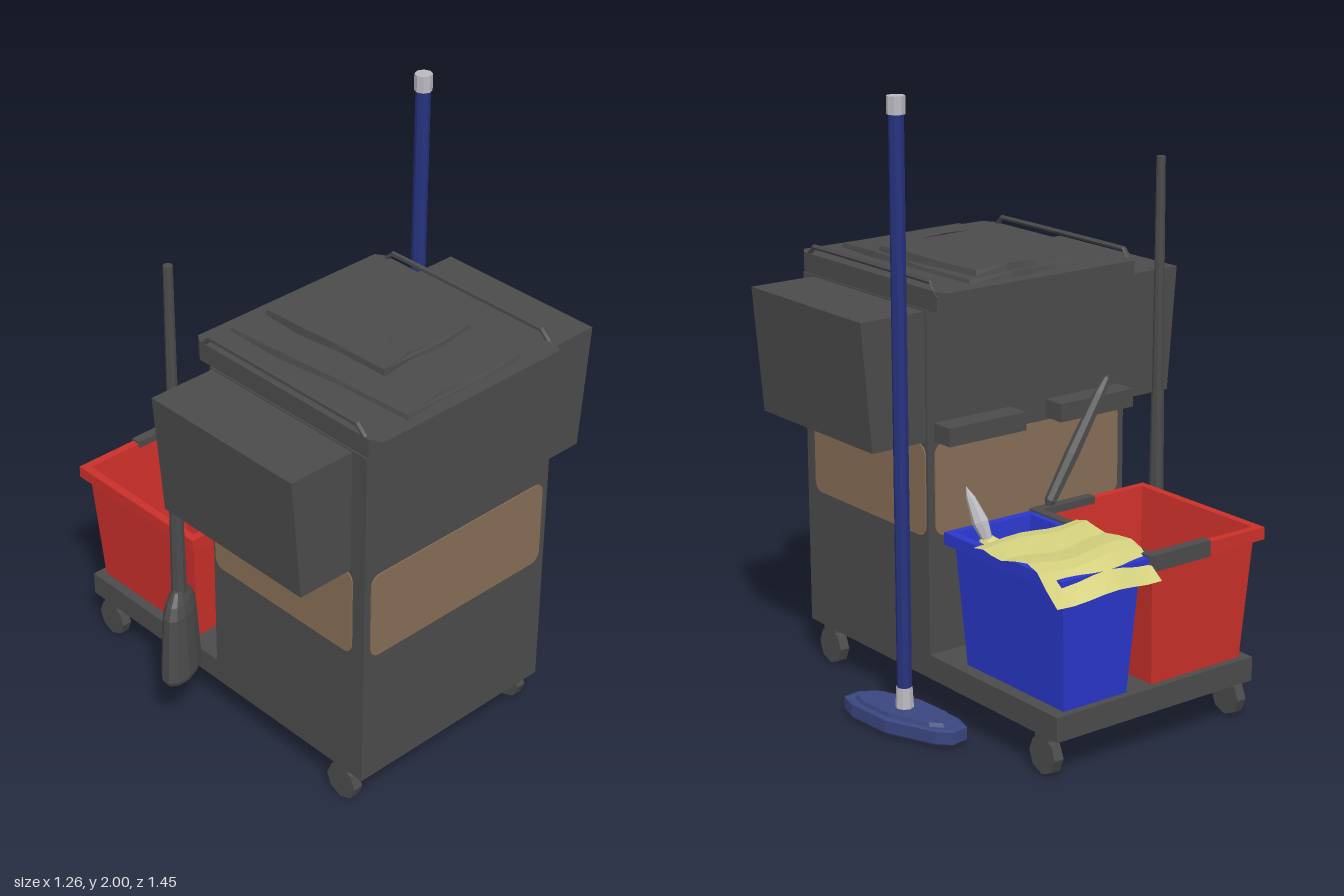
import * as THREE from 'three';

const mat = (name, color, side = THREE.FrontSide) => {
  const m = new THREE.MeshStandardMaterial({ color, side, flatShading: true });
  m.name = name;
  return m;
};

export function createModel() {
  const root = new THREE.Group();
  root.name = 'cleaningCart';
  const grey = mat('dark grey plastic', 0x4b4b4b);
  const brown = mat('brown panel', 0x866d55);
  const red = mat('red plastic', 0xcb302a);
  const blue = mat('blue plastic', 0x2b38cc);
  const poleBlue = mat('navy pole', 0x26327e);
  const navy = mat('navy mop', 0x3a467f);
  const silver = mat('silver', 0xb9b9bf);
  const yellow = mat('yellow cloth', 0xd4d07e, THREE.DoubleSide);

  const add = (name, geo, material, x = 0, y = 0, z = 0) => {
    const m = new THREE.Mesh(geo, material);
    m.name = name;
    m.position.set(x, y, z);
    root.add(m);
    return m;
  };
  // box given by its limits on each axis
  const box = (name, material, x0, x1, y0, y1, z0, z1) =>
    add(name, new THREE.BoxGeometry(x1 - x0, y1 - y0, z1 - z0), material,
      (x0 + x1) / 2, (y0 + y1) / 2, (z0 + z1) / 2);
  const rod = (name, material, x, z, y0, y1, r0, r1 = r0, n = 8) =>
    add(name, new THREE.CylinderGeometry(r1, r0, y1 - y0, n), material, x, (y0 + y1) / 2, z);
  const rect = (x0, x1, z0, z1, y) => [[x0, y, z1], [x1, y, z1], [x1, y, z0], [x0, y, z0]];
  // closed solid through horizontal rings of equal point count
  const loft = (rings) => {
    const n = rings[0].length, idx = [], last = (rings.length - 1) * n;
    for (let i = 0; i < rings.length - 1; i++)
      for (let j = 0; j < n; j++) {
        const a = i * n + j, b = i * n + (j + 1) % n;
        idx.push(a, b, b + n, a, b + n, a + n);
      }
    for (let j = 1; j < n - 1; j++) idx.push(0, j + 1, j, last, last + j, last + j + 1);
    const g = new THREE.BufferGeometry();
    g.setAttribute('position', new THREE.Float32BufferAttribute(rings.flat(2), 3));
    g.setIndex(idx);
    const flat = g.toNonIndexed();
    flat.computeVertexNormals();
    return flat;
  };
  // thin plate with rounded corners, facing +z
  const plate = (w, h, r) => {
    const s = new THREE.Shape(), a = w / 2, b = h / 2;
    s.absarc(a - r, b - r, r, 0, Math.PI / 2);
    s.absarc(-a + r, b - r, r, Math.PI / 2, Math.PI);
    s.absarc(-a + r, -b + r, r, Math.PI, Math.PI * 1.5);
    s.absarc(a - r, -b + r, r, Math.PI * 1.5, Math.PI * 2);
    return new THREE.ExtrudeGeometry(s, { depth: 0.004, bevelEnabled: false, curveSegments: 4 });
  };

  // cabinet and rear platform
  box('cabinet', grey, -0.395, 0.395, 0.13, 1.33, 0, 0.68);
  box('platform', grey, -0.395, 0.395, 0.13, 0.21, -0.64, 0);
  const lidRing = (y) => [[-0.365, y, 0.72], [0.365, y, 0.72], [0.39, y, 0.68], [0.39, y, -0.05],
    [0.37, y, -0.08], [-0.37, y, -0.08], [-0.39, y, -0.05], [-0.39, y, 0.68]];
  add('lid', loft([lidRing(1.33), lidRing(1.395)]), grey);

  // coloured panels on all four sides
  add('frontPanel', plate(0.74, 0.3, 0.035), brown, 0, 0.75, 0.68);
  add('backPanel', plate(0.74, 0.3, 0.035), brown, 0, 0.75, 0).rotation.y = Math.PI;
  for (const s of [1, -1]) {
    add('sidePanel', plate(0.62, 0.3, 0.035), brown, s * 0.395, 0.75, 0.32).rotation.y = s * Math.PI / 2;
    // tapered side bin
    const bin = (w, y) => s > 0 ? rect(0.39, w, 0.01, 0.62, y) : rect(-w, -0.39, 0.01, 0.62, y);
    add('sideBin', loft([bin(0.595, 0.91), bin(0.63, 1.325)]), grey);
    // lid rail
    const rail = new THREE.CatmullRomCurve3([[0.67, 1.38], [0.64, 1.42], [-0.02, 1.42], [-0.05, 1.38]]
      .map(([z, y]) => new THREE.Vector3(s * 0.383, y, z)), false, 'catmullrom', 0.1);
    add('lidRail', new THREE.TubeGeometry(rail, 12, 0.009, 5), grey);
    // rear clips, upper and lower rows
    for (const y of [0.91, 1.33])
      box('rearClip', grey, s > 0 ? 0.07 : -0.37, s > 0 ? 0.37 : -0.07, y, y + 0.06, -0.08, 0.01);
    // castors
    for (const z of [0.58, -0.56]) {
      const wheel = add('wheel', new THREE.CylinderGeometry(0.062, 0.062, 0.034, 8), grey, s * 0.372, 0.062, z);
      wheel.rotation.set(Math.PI / 8, 0, Math.PI / 2, 'ZXY');
      wheel.rotation.set(0, 0, Math.PI / 2);
      box('wheelFork', grey, s * 0.372 - 0.02, s * 0.372 + 0.02, 0.1, 0.135, z - 0.03, z + 0.03);
    }
  }

  // folded bags lying on the lid
  const bag = (corners, y, h) => {
    const pts = corners.flatMap((c, i) => {
      const d = corners[(i + 1) % 4];
      return [0, 0.3, 0.65].map((t, k) => [
        c[0] + (d[0] - c[0]) * t + 0.008 * Math.sin(i * 5 + k * 2.3),
        c[1] + (d[1] - c[1]) * t + 0.008 * Math.cos(i * 3 + k * 2.9)]);
    });
    const ring = (e, k) => pts.map(([x, z], i) => [x * k, y + e * (1 + 0.3 * Math.sin(i * 2)), 0.3 + (z - 0.3) * k]);
    return loft([ring(0, 1), ring(h, 0.98)]);
  };
  add('lowerBag', bag([[-0.24, 0.68], [0.26, 0.68], [0.25, -0.03], [-0.29, -0.03]], 1.39, 0.02), grey);
  add('upperBag', bag([[-0.14, 0.48], [0.25, 0.48], [0.21, -0.01], [-0.16, -0.01]], 1.41, 0.022), grey);

  // open rimmed buckets
  const bucket = (x0, x1, z0, z1) => {
    const r = (d, y) => rect(x0 + d, x1 - d, z0 + d, z1 - d, y);
    return loft([r(0.05, 0.21), r(0.025, 0.6), r(0, 0.605), r(0, 0.645), r(0.028, 0.645), r(0.075, 0.235)]);
  };
  add('redBucket', bucket(-0.41, 0.055, -0.665, -0.088), red);
  add('blueBucket', bucket(0.055, 0.4, -0.665, -0.088), blue);
  // clamp joining the buckets
  box('bucketClamp', grey, 0.032, 0.063, 0.6, 0.652, -0.668, -0.085);
  box('clampArmBack', grey, -0.18, 0.05, 0.6, 0.652, -0.67, -0.635);
  box('clampArmFront', grey, -0.18, 0.05, 0.6, 0.652, -0.118, -0.083);

  // cloth draped over the blue bucket, back edge hanging
  const cloth = new THREE.PlaneGeometry(0.4, 0.42, 7, 8).rotateX(-Math.PI / 2).translate(0.25, 0, -0.51);
  const cp = cloth.attributes.position;
  for (let i = 0; i < cp.count; i++) {
    const x = cp.getX(i), z = cp.getZ(i);
    const drop = Math.max(0, -0.64 - z) * 0.95;
    cp.setY(i, 0.668 + 0.008 * Math.sin(x * 19 + z * 13) + 0.007 * Math.sin(z * 31) - drop);
    cp.setX(i, x + 0.008 * Math.sin(z * 25));
    cp.setZ(i, z + 0.006 * Math.sin(x * 17));
  }
  cloth.computeVertexNormals();
  add('cloth', cloth, yellow);

  // part stretched between two points: geometry axis is y
  const aim = (mesh, a, b) => {
    const p = new THREE.Vector3(...a), q = new THREE.Vector3(...b);
    mesh.position.copy(p).add(q).multiplyScalar(0.5);
    mesh.quaternion.setFromUnitVectors(new THREE.Vector3(0, 1, 0), q.sub(p).normalize());
    return mesh;
  };
  const spindle = (len, ...pts) => new THREE.LatheGeometry(
    pts.map(([r, t]) => new THREE.Vector2(r, (t - 0.5) * len)), 7);
  // hand brush standing in the blue bucket
  aim(add('brushBristles', spindle(0.25, [0, 0], [0.05, 0.1], [0.075, 0.4], [0.055, 0.75], [0.02, 1]), yellow),
    [0.215, 0.42, -0.27], [0.29, 0.62, -0.15]);
  aim(add('brushGrip', spindle(0.2, [0, 0], [0.015, 0.05], [0.027, 0.4], [0.015, 0.8], [0, 1]), silver),
    [0.285, 0.6, -0.17], [0.315, 0.775, -0.09]);
  // small tool leaning on the cabinet
  aim(add('toolHandle', spindle(0.48, [0, 0], [0.02, 0.06], [0.024, 0.4], [0.02, 0.85], [0.012, 0.97], [0, 1]), grey),
    [0, 0.64, -0.095], [-0.265, 1.035, -0.08]);

  // mop with a tapered oval head in two tiers
  const outline = [[0.42, 0], [0.49, 0.17], [0.53, 0.205], [0.59, 0.2], [0.61, 0.13],
    [0.6, -0.04], [0.53, -0.21], [0.49, -0.25], [0.43, -0.24], [0.41, -0.17]];
  const tier = (k, y) => outline.map(([x, z]) => [0.51 + (x - 0.51) * k, y, -0.02 + (z + 0.02) * k]);
  add('mopHead', loft([tier(0.95, 0.008), tier(1, 0.015), tier(1, 0.055), tier(0.92, 0.06)]), navy);
  add('mopPlate', loft([tier(0.84, 0.055), tier(0.78, 0.072)]), navy);
  rod('mopSocket', silver, 0.51, -0.02, 0.065, 0.14, 0.03, 0.026);
  rod('mopPole', poleBlue, 0.51, -0.02, 0.13, 1.95, 0.024);
  rod('mopCap', silver, 0.51, -0.02, 1.945, 2, 0.029);

  // upright brush with a flat domed head
  const head = new THREE.LatheGeometry([[0, 0.22], [0.105, 0.225], [0.112, 0.24], [0.09, 0.47], [0.07, 0.51],
    [0.035, 0.545], [0, 0.55]].map((p) => new THREE.Vector2(...p)), 12);
  head.scale(1, 1, 0.5).rotateY(0.5);
  add('floorBrushHead', head, grey, -0.515, 0, -0.035);
  rod('floorBrushGrip', grey, -0.515, -0.035, 0.53, 0.93, 0.025, 0.021);
  rod('floorBrushPole', grey, -0.515, -0.035, 0.92, 1.71, 0.019, 0.015);

  return root;
}
